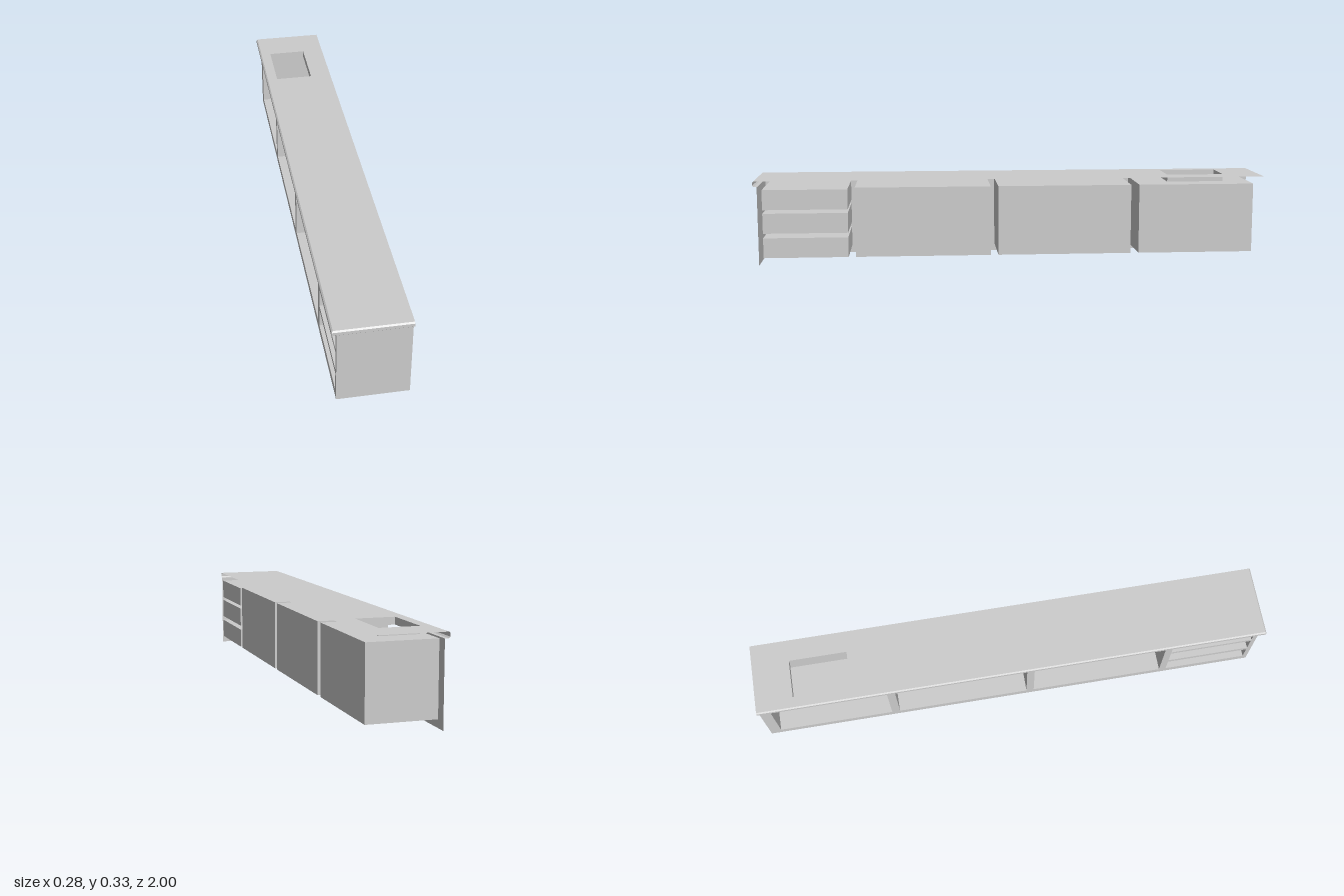
import * as THREE from 'three';

const material = new THREE.MeshStandardMaterial({ color: 0xcccccc, side: THREE.DoubleSide, flatShading: true });

function addMesh(group, name, geometry) {
  const mesh = new THREE.Mesh(geometry, material);
  mesh.name = name;
  group.add(mesh);
  return mesh;
}

const corners = ([a0, a1, b0, b1]) =>
  [[a0, b0], [a1, b0], [a1, b1], [a0, b1]].map(p => new THREE.Vector2(...p));

// Flat sheet: rectangle [a0, a1, b0, b1] with rectangular holes
function sheet(rect, holes = []) {
  const shape = new THREE.Shape(corners(rect));
  shape.holes = holes.map(h => new THREE.Path(corners(h)));
  return new THREE.ShapeGeometry(shape);
}

// Horizontal sheet facing up; rectangles are [x0, x1, z0, z1]
function levelSheet(rect, y, holes = []) {
  const flip = ([x0, x1, z0, z1]) => [x0, x1, -z1, -z0];
  return sheet(flip(rect), holes.map(flip)).rotateX(-Math.PI / 2).translate(0, y, 0);
}

// Thin-walled box without the listed sides (order: +x, -x, +y, -y, +z, -z)
function openBox(x0, x1, y0, y1, z0, z1, openSides) {
  const g = new THREE.BoxGeometry(x1 - x0, y1 - y0, z1 - z0);
  const index = Array.from(g.index.array);
  g.setIndex(index.filter((v, i) => !openSides.includes(Math.floor(i / 6))));
  g.clearGroups();
  return g.translate((x0 + x1) / 2, (y0 + y1) / 2, (z0 + z1) / 2);
}

export function createModel() {
  const group = new THREE.Group();
  group.name = 'counter';
  const faceX = -0.12, backX = 0.14, endZ = 0.983, topY = 0.33, underY = 0.308;
  const sink = [-0.095, 0.055, -0.855, -0.63];

  // Compartments as [z0, z1, y0, y1]: three drawer slots, then three cupboards
  const drawers = [[0.03, 0.108], [0.126, 0.204], [0.218, 0.296]].map(y => [0.638, 0.965, ...y]);
  const cupboards = [[0.084, 0.61], [-0.47, 0.054], [-0.957, -0.502]].map(z => [...z, 0.03, 0.302]);
  const openings = [...drawers, ...cupboards];

  // Face frame with an opening for each compartment
  addMesh(group, 'faceFrame', sheet([-1, endZ, 0, underY], openings).rotateY(-Math.PI / 2).translate(faceX, 0, 0));

  // End panel
  addMesh(group, 'endPanel', sheet([faceX, backX, 0, underY]).translate(0, 0, endZ));

  // Compartment shells, open at the face frame; the last one has a sink cut-out on top
  openings.forEach(([z0, z1, y0, y1], i) => {
    const underSink = i === openings.length - 1;
    addMesh(group, i < drawers.length ? 'drawerSlot' : 'cupboard',
      openBox(faceX, backX, y0, y1, z0, z1, underSink ? [1, 2] : [1]));
    if (underSink) addMesh(group, 'cupboardTop', levelSheet([faceX, backX, z0, z1], y1, [sink]));
  });

  // Worktop sheet and the walls of its sink cut-out
  addMesh(group, 'worktop', levelSheet([-0.135, backX, -1, 0.995], topY, [sink]));
  addMesh(group, 'sinkCutout', openBox(sink[0], sink[1], 0.302, topY, sink[2], sink[3], [2, 3]));

  // Chamfered worktop edge, mitred round the corner; profile is [inset, y]
  const profile = [[0.005, topY], [0, 0.325], [0, 0.313], [0.005, underY], [0.02, underY]];
  const positions = [], index = [];
  profile.forEach(([inset, y], i) => {
    const x = -0.14 + inset, z = 1 - inset;
    positions.push(x, y, -1, x, y, z, backX, y, z);
    if (i === 0) return;
    for (let k = 0; k < 2; k++) {
      const a = (i - 1) * 3 + k, b = i * 3 + k;
      index.push(a, b, b + 1, a, b + 1, a + 1);
    }
  });
  const edge = new THREE.BufferGeometry();
  edge.setAttribute('position', new THREE.Float32BufferAttribute(positions, 3));
  edge.setIndex(index);
  const flatEdge = edge.toNonIndexed();
  flatEdge.computeVertexNormals();
  addMesh(group, 'worktopEdge', flatEdge);

  return group;
}
